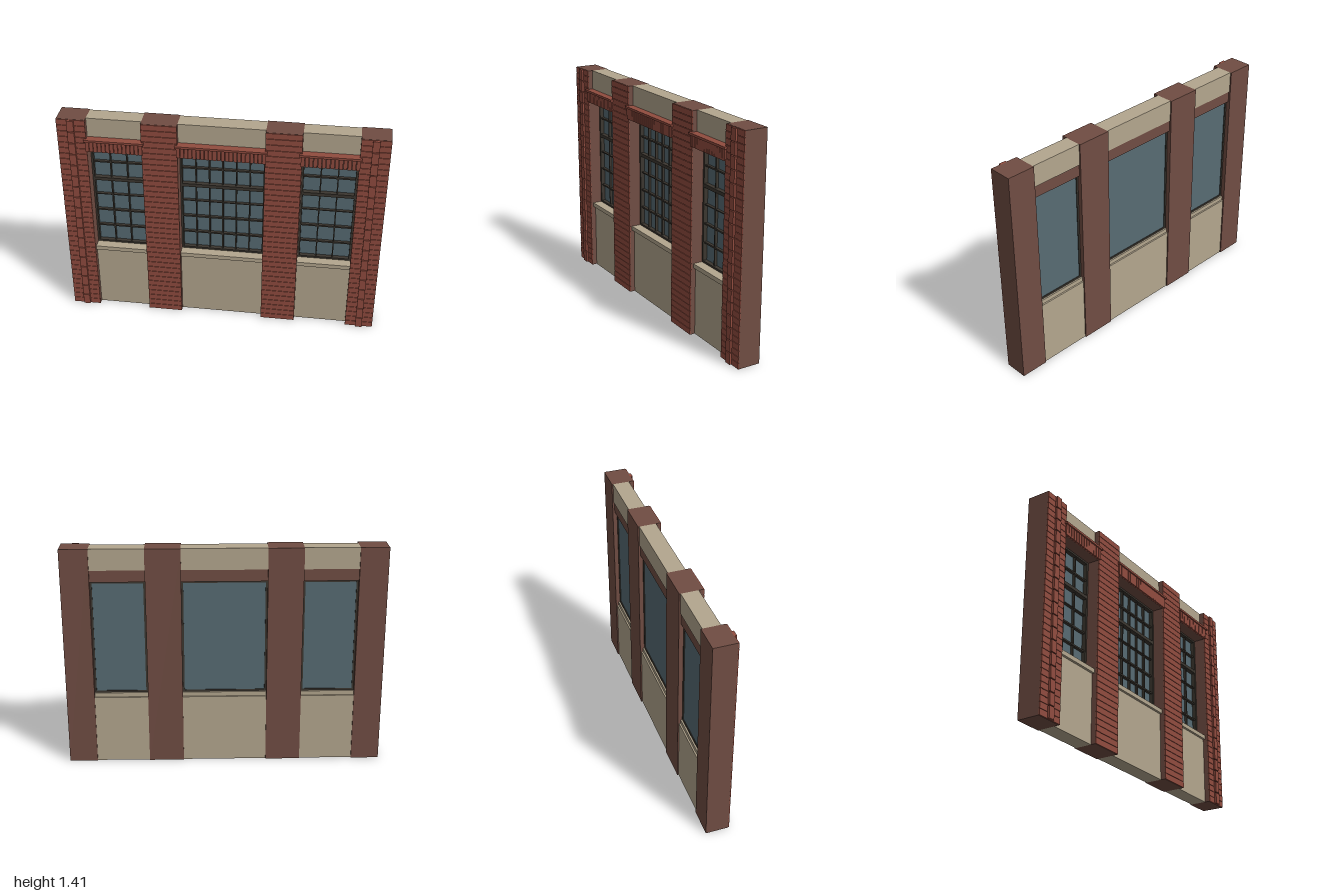
import * as THREE from 'three';

const mat = (name, color) => new THREE.MeshStandardMaterial({ name, color });

export function createModel() {
  const brick = mat('red brick', 0x914c3f);
  const core = mat('brown masonry', 0x704d43);
  const stone = mat('beige stone', 0xb3a68e);
  const frame = mat('dark frame', 0x3b362f);
  const glass = mat('blue grey glass', 0x576b73);

  const H = 1.41;
  const model = new THREE.Group();
  model.name = 'facade';

  // Box given by its limits on each axis
  function box(parent, name, material, x0, x1, y0, y1, z0, z1) {
    const mesh = new THREE.Mesh(new THREE.BoxGeometry(x1 - x0, y1 - y0, z1 - z0), material);
    mesh.position.set((x0 + x1) / 2, (y0 + y1) / 2, (z0 + z1) / 2);
    mesh.name = name;
    parent.add(mesh);
    return mesh;
  }

  // Stack of brick courses with narrow joints
  function courses(parent, name, x0, x1, count, z0, z1, gap) {
    const pitch = H / count;
    for (let i = 0; i < count; i++) {
      box(parent, name, brick, x0, x1, i * pitch + gap / 2, (i + 1) * pitch - gap / 2, z0, z1);
    }
  }

  function pier(name, x0, x1) {
    const g = new THREE.Group();
    g.name = name;
    box(g, 'pierCore', core, x0, x1, 0, H, -0.083, 0.06);
    courses(g, 'brickCourse', x0, x1, 36, 0.06, 0.066, 0.003);
    model.add(g);
    return g;
  }

  // Piers, the outer ones with a raised strip of bricks
  for (const side of [-1, 1]) {
    const label = side > 0 ? 'left' : 'right';
    const span = (a, b) => (side > 0 ? [a, b] : [-b, -a]);
    pier(label + 'InnerPier', ...span(0.265, 0.485));
    const outer = pier(label + 'OuterPier', ...span(0.823, 1));
    courses(outer, 'raisedBrick', ...span(0.89, 0.933), 18, 0.066, 0.079, 0.006);
  }

  // One bay between piers: panel, sill, window, lintel and upper panel
  function bay(name, x0, x1, columns, soldiers) {
    const g = new THREE.Group();
    g.name = name;
    box(g, 'lowerPanel', stone, x0, x1, 0, 0.44, -0.075, 0.03);
    box(g, 'sill', stone, x0, x1, 0.44, 0.468, -0.065, 0.046);
    box(g, 'upperPanel', stone, x0, x1, 1.275, H, -0.075, 0.032);

    // Lintel with upright bricks and a projecting cap
    box(g, 'lintelCore', core, x0, x1, 1.2, 1.275, -0.07, 0.06);
    const l0 = x0 - 0.008, l1 = x1 + 0.008, pitch = (l1 - l0) / soldiers;
    for (let i = 0; i < soldiers; i++) {
      box(g, 'soldierBrick', brick, l0 + i * pitch + 0.0015, l0 + (i + 1) * pitch - 0.0015,
        1.2, 1.27, 0.06, 0.074);
    }
    box(g, 'lintelCap', brick, x0 - 0.015, x1 + 0.015, 1.27, 1.284, 0.032, 0.083);

    // Window frame, glass and bars
    const y0 = 0.468, y1 = 1.2, t = 0.012;
    const zb = -0.055, zf = -0.015;
    box(g, 'frameSide', frame, x0, x0 + t, y0, y1, zb, zf);
    box(g, 'frameSide', frame, x1 - t, x1, y0, y1, zb, zf);
    box(g, 'frameBottom', frame, x0 + t, x1 - t, y0, y0 + t, zb, zf);
    box(g, 'frameTop', frame, x0 + t, x1 - t, y1 - t, y1, zb, zf);
    box(g, 'glass', glass, x0 + t, x1 - t, y0 + t, y1 - t, -0.05, -0.042);
    for (let i = 1; i < columns; i++) {
      const x = x0 + t + (i * (x1 - x0 - 2 * t)) / columns;
      box(g, 'verticalBar', frame, x - 0.004, x + 0.004, y0 + t, y1 - t, -0.042, -0.025);
    }
    for (const [y, h, z] of [[0.595, 0.005, -0.023], [0.715, 0.005, -0.023],
      [0.835, 0.003, -0.023], [0.955, 0.011, -0.012], [1.075, 0.005, -0.023]]) {
      box(g, 'crossBar', frame, x0 + t, x1 - t, y - h, y + h, -0.042, z);
    }
    model.add(g);
  }

  bay('rightBay', -0.823, -0.485, 3, 14);
  bay('centreBay', -0.265, 0.265, 6, 22);
  bay('leftBay', 0.485, 0.823, 3, 14);
  return model;
}
